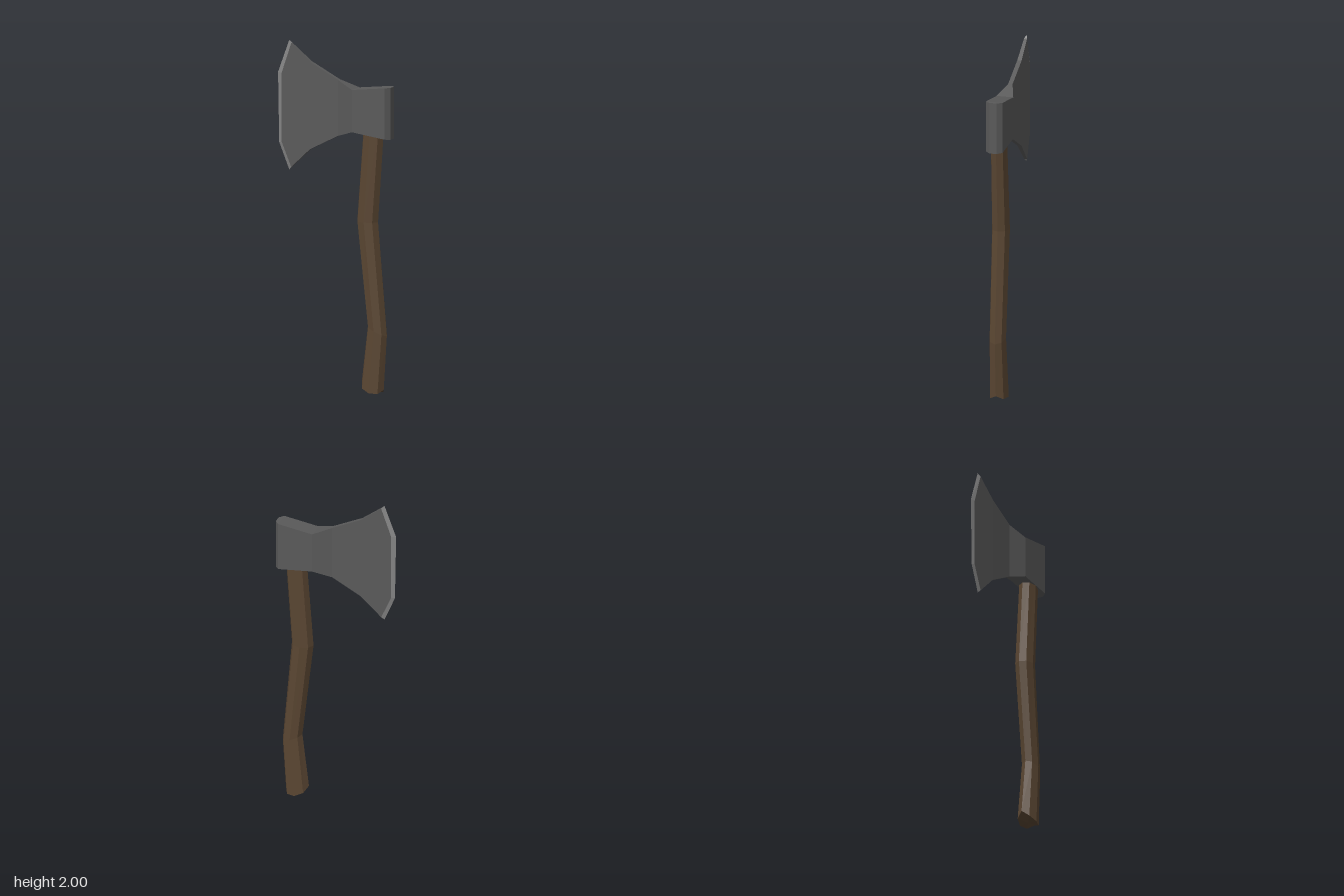
import * as THREE from 'three';

const v = (x, y, z) => [x, y, z];

// Collects flat polygons (corners counter-clockwise from outside)
class Faces {
  constructor() { this.pos = []; }
  add(corners, flip = false) {
    const c = flip ? [...corners].reverse() : corners;
    for (let i = 1; i < c.length - 1; i++) this.pos.push(...c[0], ...c[i], ...c[i + 1]);
  }
  mesh(name, color) {
    const geo = new THREE.BufferGeometry();
    geo.setAttribute('position', new THREE.Float32BufferAttribute(this.pos, 3));
    geo.computeVertexNormals();
    const mesh = new THREE.Mesh(geo, new THREE.MeshStandardMaterial({ color, flatShading: true }));
    mesh.name = name;
    return mesh;
  }
}

// Head stations from poll to blade: x, top y, bottom y, half thickness
const STATIONS = [
  [0.362, 1.775, 1.475, 0.022],
  [0.338, 1.775, 1.478, 0.05],
  [0.13, 1.75, 1.505, 0.05],
  [0.022, 1.795, 1.47, 0.013],
  [-0.155, 1.885, 1.38, 0.013],
  [-0.277, 1.983, 1.267, 0.009],
  [-0.338, 1.808, 1.408, 0.008],
];

function buildHead() {
  const f = new Faces();
  const last = STATIONS.length - 1;
  for (let i = 0; i < last; i++) {
    const [x0, t0, b0, h0] = STATIONS[i], [x1, t1, b1, h1] = STATIONS[i + 1];
    // broad cheeks
    for (const s of [1, -1]) {
      f.add([v(x1, t1, s * h1), v(x1, b1, s * h1), v(x0, b0, s * h0), v(x0, t0, s * h0)], s < 0);
    }
    // upper and lower rim, stopping at the blade tips
    if (i < last - 1) {
      f.add([v(x1, t1, h1), v(x0, t0, h0), v(x0, t0, -h0), v(x1, t1, -h1)]);
      f.add([v(x1, b1, h1), v(x0, b0, h0), v(x0, b0, -h0), v(x1, b1, -h1)], true);
    }
  }
  // flat back of the poll
  const [x, t, b, h] = STATIONS[0];
  f.add([v(x, b, h), v(x, b, -h), v(x, t, -h), v(x, t, h)]);
  return f.mesh('axeHead', 0x5a5a5a);
}

// Sharpened bevel running from the inner line to the cutting edge
function buildEdge() {
  const f = new Faces();
  const [tip, mid] = STATIONS.slice(-2);
  const inner = [[tip[0], tip[1], tip[3]], [mid[0], mid[1], mid[3]], [mid[0], mid[2], mid[3]], [tip[0], tip[2], tip[3]]];
  const edge = [v(-0.294, 2, 0), v(-0.365, 1.81, 0), v(-0.358, 1.405, 0), v(-0.294, 1.25, 0)];
  const side = (p, s) => v(p[0], p[1], s * p[2]);
  for (let i = 0; i < 3; i++) {
    for (const s of [1, -1]) {
      f.add([side(inner[i], s), edge[i], edge[i + 1], side(inner[i + 1], s)], s < 0);
    }
  }
  f.add([side(inner[0], 1), side(inner[0], -1), edge[0]]);
  f.add([side(inner[3], 1), side(inner[3], -1), edge[3]], true);
  return f.mesh('cuttingEdge', 0x858585);
}

// Eight-sided bent handle; each ring: left x, left y, right x, right y, half depth
function buildHandle() {
  const f = new Faces();
  const rings = [
    [0.168, 0.068, 0.308, 0.032, 0.056],
    [0.208, 0.4, 0.328, 0.345, 0.049],
    [0.14, 1.0, 0.272, 1.0, 0.053],
    [0.185, 1.6, 0.313, 1.6, 0.048],
  ].map(([xl, yl, xr, yr, h], r) => Array.from({ length: 8 }, (_, k) => {
    const a = (k * Math.PI) / 4;
    const u = Math.cos(a), w = Math.sin(a);
    const m = (u + 1) / 2;
    // the butt end is rounded downward between its two outer corners
    const sag = r === 0 ? 0.034 * (1 - u ** 4) : 0;
    return v(xl + (xr - xl) * m, yl + (yr - yl) * m - sag, -w * h);
  }));
  for (let r = 0; r < rings.length - 1; r++) {
    for (let k = 0; k < 8; k++) {
      const n = (k + 1) % 8;
      f.add([rings[r][k], rings[r][n], rings[r + 1][n], rings[r + 1][k]]);
    }
  }
  // butt cap and hidden top cap
  for (let k = 0; k < 8; k++) f.add([rings[0][(k + 1) % 8], rings[0][k], v(0.238, 0.02, 0)]);
  f.add(rings[3]);
  return f.mesh('handle', 0x5a4632);
}

export function createModel() {
  const group = new THREE.Group();
  group.name = 'axe';
  group.add(buildHead(), buildEdge(), buildHandle());
  // rest the butt on the ground
  const handle = group.getObjectByName('handle');
  handle.geometry.computeBoundingBox();
  handle.geometry.translate(0, -handle.geometry.boundingBox.min.y, 0);
  return group;
}
